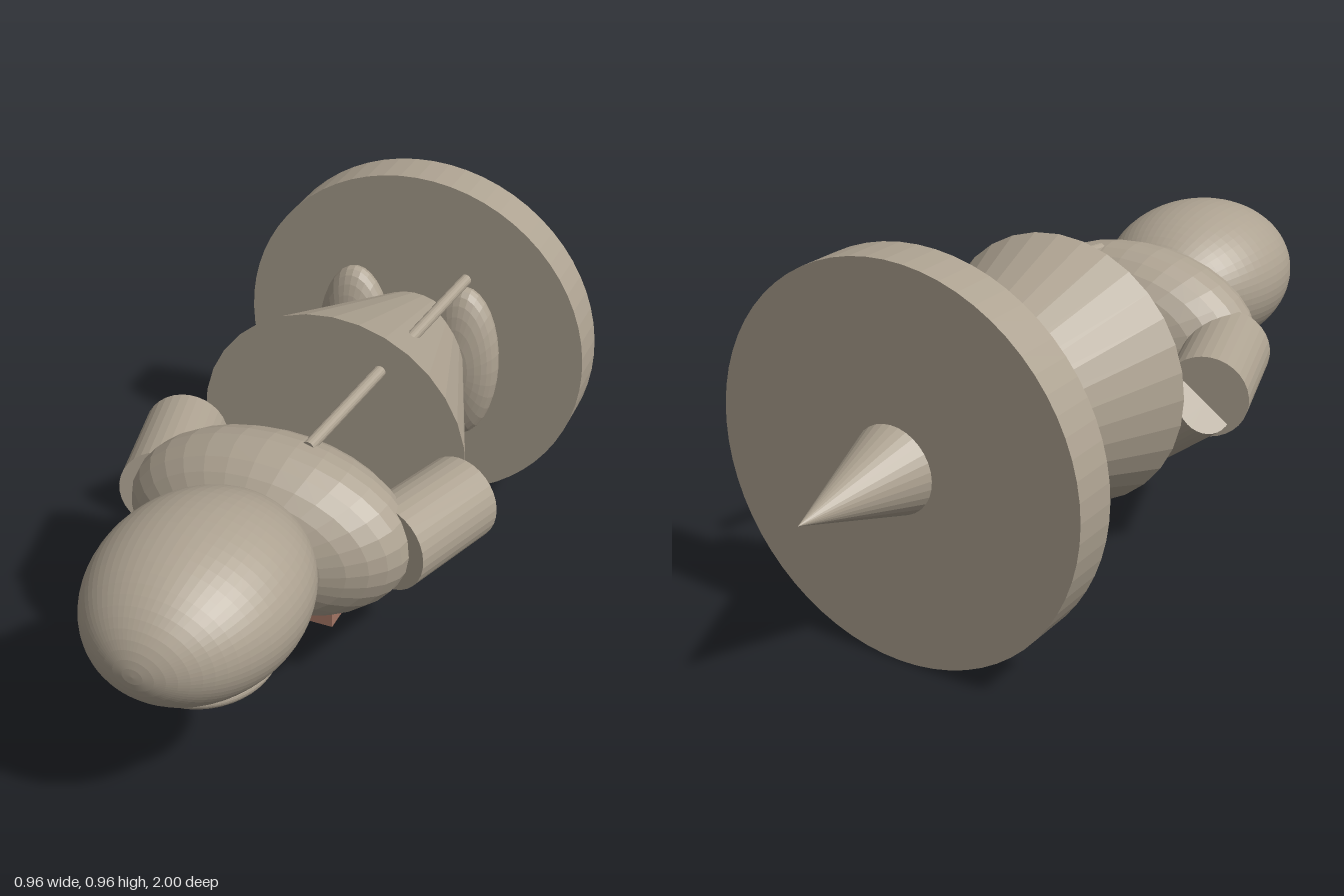
import * as THREE from 'three';

export function createModel() {
  const group = new THREE.Group();
  const stone = new THREE.MeshStandardMaterial({ color: 0xada291, flatShading: true });
  stone.name = 'stone';
  const terracotta = new THREE.MeshStandardMaterial({ color: 0xa27564, flatShading: true });
  terracotta.name = 'terracotta';

  function add(name, geometry, material = stone) {
    const mesh = new THREE.Mesh(geometry, material);
    mesh.name = name;
    group.add(mesh);
    return mesh;
  }

  // Ellipsoid with its poles along z
  function ellipsoid(name, center, radii, segments = 32) {
    const geometry = new THREE.SphereGeometry(1, segments, segments / 2);
    geometry.rotateX(Math.PI / 2).scale(...radii).translate(...center);
    return add(name, geometry);
  }

  // Round bar or cone running from one point to another
  function bar(name, from, to, rFrom, rTo = rFrom, segments = 32) {
    const a = new THREE.Vector3(...from), b = new THREE.Vector3(...to);
    const mesh = add(name, new THREE.CylinderGeometry(rTo, rFrom, a.distanceTo(b), segments));
    mesh.position.copy(a).lerp(b, 0.5);
    mesh.quaternion.setFromUnitVectors(new THREE.Vector3(0, 1, 0), b.sub(a).normalize());
    return mesh;
  }

  function box(name, size, center, material = stone) {
    add(name, new THREE.BoxGeometry(...size), material).position.set(...center);
  }

  const axisY = 0.48;

  // Base disc, spike and skirt along the body axis
  bar('baseDisc', [0, axisY, -0.69], [0, axisY, -0.573], 0.478, 0.478, 64);
  bar('spike', [0, axisY, -0.69], [0, axisY, -1], 0.106, 0);
  bar('skirt', [0, axisY, -0.6], [0, axisY, -0.02], 0.135, 0.35);

  // Torso and head
  ellipsoid('torso', [0, axisY, 0.345], [0.35, 0.223, 0.188]);
  ellipsoid('head', [0, 0.523, 0.7], [0.244, 0.198, 0.3], 64);

  // Face, turned downwards
  ellipsoid('face', [0, 0.346, 0.69], [0.162, 0.054, 0.175], 48);
  ellipsoid('nose', [0, 0.286, 0.662], [0.029, 0.039, 0.048], 24);

  // Collar cone and button
  bar('collar', [0, 0.32, 0.515], [0, 0.32, 0.285], 0.125, 0);
  ellipsoid('button', [0, 0.257, 0.4], [0.03, 0.023, 0.03], 24);

  // Mirrored eyes, arms, hands and feet
  for (const [side, s] of [['left', 1], ['right', -1]]) {
    ellipsoid(side + 'Eye', [s * 0.065, 0.3, 0.735], [0.017, 0.017, 0.017], 16);
    bar(side + 'UpperArm', [s * 0.285, 0.478, 0.336], [s * 0.365, 0.462, 0.06], 0.106);
    bar(side + 'Forearm', [s * 0.365, 0.445, 0.057], [s * 0.155, 0.273, 0.162], 0.075);
    ellipsoid(side + 'Hand', [s * 0.145, 0.265, 0.175], [0.06, 0.058, 0.06], 24);
    ellipsoid(side + 'Foot', [s * 0.154, 0.467, -0.537], [0.104, 0.224, 0.07]);
  }

  // Book held in the hands
  box('bookCover', [0.285, 0.08, 0.228], [0, 0.222, 0.197], terracotta);
  box('bookPages', [0.234, 0.016, 0.195], [0, 0.173, 0.193]);
  box('bookRibbon', [0.013, 0.012, 0.195], [0, 0.156, 0.195]);

  // Slender rod across the back
  bar('rod', [0.085, 0.685, 0.315], [0.175, 0.744, -0.482], 0.015, 0.015, 16);

  return group;
}
